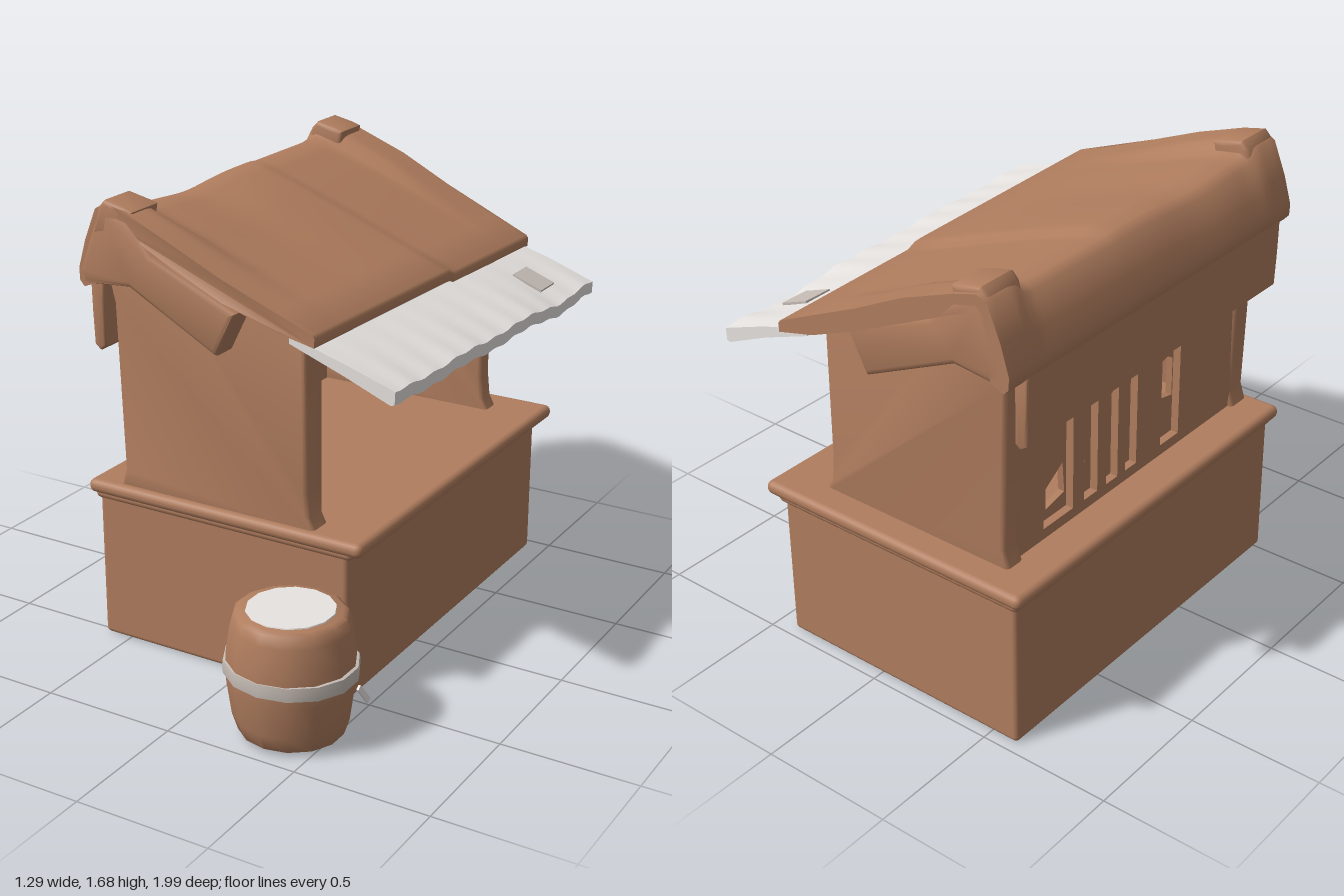
import * as THREE from 'three';
import { toCreasedNormals } from 'three/addons/utils/BufferGeometryUtils.js';
import { RoundedBoxGeometry } from 'three/addons/geometries/RoundedBoxGeometry.js';

const material = (name, color) => {
  const m = new THREE.MeshStandardMaterial({ color });
  m.name = name;
  return m;
};
const clay = material('clay brown', 0xb07d5e);
const cloth = material('pale grey', 0xe9e5e2);
const hoopGrey = material('hoop grey', 0xc6bcb5);

const smoothstep = THREE.MathUtils.smoothstep;
const bump = (t, centre, width) => Math.exp(-(((t - centre) / width) ** 2));
const toShape = (pts) => new THREE.Shape(pts.map(([x, y]) => new THREE.Vector2(x, y)));

export function createModel() {
  const model = new THREE.Group();
  model.name = 'marketStall';

  const add = (name, geometry, mat = clay) => {
    const mesh = new THREE.Mesh(geometry, mat);
    mesh.name = name;
    model.add(mesh);
    return mesh;
  };

  // Rounded box given by its lower and upper corners
  const block = (name, [x0, y0, z0], [x1, y1, z1], radius = 0.015) => {
    const g = new RoundedBoxGeometry(x1 - x0, y1 - y0, z1 - z0, 2, radius);
    g.translate((x0 + x1) / 2, (y0 + y1) / 2, (z0 + z1) / 2);
    return add(name, g);
  };

  // Side profile swept along z; an optional rule gives [dy, dz] for each point
  const sweep = (name, pts, z0, z1, { steps = 1, rule, mat = clay, bevel = 0 } = {}) => {
    const g = new THREE.ExtrudeGeometry(toShape(pts), {
      depth: z1 - z0 - 2 * bevel, steps, bevelEnabled: bevel > 0,
      bevelSize: bevel, bevelThickness: bevel, bevelOffset: -bevel, bevelSegments: 2,
    });
    g.translate(0, 0, z0 + bevel);
    if (rule) {
      const p = g.attributes.position;
      for (let i = 0; i < p.count; i++) {
        const [x, y, z] = [p.getX(i), p.getY(i), p.getZ(i)];
        const [dy, dz] = rule(x, y, z);
        p.setXYZ(i, x, y + dy, z + dz);
      }
    }
    return add(name, toCreasedNormals(g, 0.8), mat);
  };

  // Base and counter
  block('base', [-0.61, 0, -0.96], [0.425, 0.6, 0.53], 0.018);
  block('counter', [-0.645, 0.568, -0.99], [0.488, 0.62, 0.555], 0.024);
  block('counterMoulding', [-0.625, 0.545, -0.975], [0.445, 0.6, 0.54], 0.02);

  // End walls with a slight flare at the foot
  const wallProfile = [
    [-0.52, 0.6], [0.3, 0.6], [0.27, 0.66], [0.26, 0.75], [0.255, 1.33],
    [-0.38, 1.57], [-0.5, 1.57], [-0.53, 1.36], [-0.515, 1.3], [-0.495, 0.68],
  ];
  sweep('frontWall', wallProfile, 0.43, 0.525, { bevel: 0.015 });
  sweep('backWall', wallProfile, -0.88, -0.8, { bevel: 0.015 });
  block('frontPost', [0.12, 0.6, 0.37], [0.235, 1.34, 0.45]);

  // Rear wall in two layers; shapes are drawn in (-z, y)
  const rearLayer = (name, x0, x1, openings) => {
    const rear = toShape([[-0.5, 0.6], [0.85, 0.6], [0.85, 1.5], [-0.5, 1.5]]);
    for (const pts of openings) rear.holes.push(toShape(pts));
    const g = new THREE.ExtrudeGeometry(rear, { depth: x1 - x0, bevelEnabled: false });
    g.rotateY(Math.PI / 2).translate(x0, 0, 0);
    add(name, g);
  };
  // Recesses between the slats outside, broken through in places inside
  rearLayer('rearSlats', -0.495, -0.465, [
    [-0.105, 0.005], [0.15, 0.215], [0.26, 0.325], [0.375, 0.45], [0.51, 0.67],
  ].map(([a, b], i) => [[a, 0.66], [b, 0.66], [b, 1.0 + 0.02 * (i % 2)], [a, 1.03]]));
  rearLayer('rearPanel', -0.465, -0.44, [
    [[-0.1, 0.81], [0, 0.83], [0, 1.02], [-0.1, 0.96]],
    [[0.52, 0.72], [0.62, 0.7], [0.62, 0.78], [0.53, 0.84]],
    [[0.17, 0.99], [0.21, 0.99], [0.21, 1.02]],
    ...[-0.2, 0.11, 0.21, 0.31, 0.41].map((u, i) => {
      const y = 0.66 + 0.03 * (i % 3);
      return [[u, y], [u + 0.004, y], [u + 0.004, 0.96], [u, 0.98]];
    }),
  ]);

  // The front gable draws back towards the rear eave
  const gableInset = (x, z) => -0.05 * smoothstep(-x, 0.05, 0.6) * smoothstep(z, 0.4, 0.6);

  // Roof: higher at both verges, eave dropping towards the back, one shallow step
  const roofRule = (x, y, z) => {
    const verge = Math.max(smoothstep(z, 0.38, 0.5), smoothstep(-z, 0.79, 0.86));
    const ridge = smoothstep(y, 1.38, 1.6);
    const tilt = smoothstep(x, -0.3, 0.35) * -0.045 * (0.62 - z) / 1.6;
    const sag = -0.018 * bump(z, 0.1, 0.17) * ridge;
    const step = -0.018 * smoothstep(-z, 0.32, 0.36) * smoothstep(x, -0.55, -0.4);
    return [verge * ridge * 0.045 + tilt + sag + step, gableInset(x, z)];
  };
  sweep('roof', [
    [-0.6, 1.36], [-0.618, 1.38], [-0.62, 1.42], [-0.59, 1.5], [-0.54, 1.6],
    [-0.5, 1.623], [-0.41, 1.61], [-0.2, 1.54], [0, 1.475], [0.2, 1.41], [0.345, 1.362],
    [0.354, 1.35], [0.352, 1.318], [0.2, 1.35], [0, 1.41], [-0.2, 1.475], [-0.42, 1.55],
    [-0.49, 1.55], [-0.55, 1.38],
  ], -0.99, 0.625, { steps: 44, rule: roofRule });

  // Panel hanging from the rear eave
  sweep('rearEave', [
    [-0.565, 1.13], [-0.585, 1.112], [-0.61, 1.13], [-0.615, 1.25], [-0.618, 1.41], [-0.56, 1.41], [-0.565, 1.3],
  ], -0.9, 0.52, { bevel: 0.008 });

  // Ridge knobs and gable beams at both ends
  for (const [end, z0, z1] of [['front', 0.42, 0.585], ['back', -0.975, -0.815]]) {
    sweep(end + 'RidgeKnob', [
      [-0.55, 1.56], [-0.4, 1.56], [-0.385, 1.652], [-0.42, 1.663], [-0.5, 1.68], [-0.525, 1.655],
    ], z0, z1, { bevel: 0.015 });
  }
  for (const [end, z0, z1] of [['front', 0.46, 0.63], ['back', -0.99, -0.84]]) {
    sweep(end + 'GableBeam', [
      [-0.617, 1.42], [-0.6, 1.37], [-0.4, 1.39], [-0.03, 1.22],
      [0.05, 1.38], [-0.3, 1.52], [-0.4, 1.62], [-0.5, 1.645], [-0.545, 1.61],
    ], z0, z1, { bevel: 0.02, rule: (x, y, z) => [0, gableInset(x, z)] });
  }

  // Cloth awning with a gently uneven edge
  const awningRule = (x, y, z) => {
    const outer = smoothstep(x, 0.4, 0.64);
    const wave = 0.004 * (Math.sin(z * 13) + Math.sin(z * 41)) - 0.018 * bump(z, -0.7, 0.16);
    return [-0.05 * (0.61 - z) / 1.57 + wave * outer, 0];
  };
  sweep('awning', [
    [0.25, 1.338], [0.25, 1.312], [0.45, 1.24], [0.625, 1.168],
    [0.64, 1.172], [0.642, 1.217], [0.62, 1.225], [0.45, 1.282],
  ], -0.965, 0.61, { steps: 48, rule: awningRule, mat: cloth });

  // Mended square on the awning
  const patch = add('awningPatch', new THREE.BoxGeometry(0.125, 0.009, 0.115), hoopGrey);
  patch.position.set(0.508, 1.218, -0.71);
  patch.rotation.z = -0.36;

  // Barrel with a hoop and pale lids
  const barrel = new THREE.Group();
  barrel.name = 'barrel';
  barrel.position.set(0.357, 0, 0.78);
  model.add(barrel);
  const turn = (name, pts, mat, widen = 1) => {
    const g = new THREE.LatheGeometry(pts.map(([r, y]) => new THREE.Vector2(r, y)), 14);
    g.scale(widen, 1, 1);
    const mesh = new THREE.Mesh(toCreasedNormals(g, 0.8), mat);
    mesh.name = name;
    barrel.add(mesh);
  };
  turn('barrelBody', [
    [0, 0.004], [0.15, 0.004], [0.178, 0.02], [0.197, 0.08], [0.213, 0.2], [0.217, 0.255],
    [0.213, 0.32], [0.2, 0.41], [0.188, 0.45], [0.172, 0.46], [0, 0.46],
  ], clay, 1.04);
  turn('barrelHoop', [
    [0.195, 0.228], [0.218, 0.232], [0.221, 0.258], [0.218, 0.282], [0.195, 0.286],
  ], hoopGrey, 1.08);
  turn('barrelLid', [[0.154, 0.458], [0.152, 0.464], [0, 0.464]], cloth);
  turn('barrelBottom', [[0, 0], [0.135, 0], [0.137, 0.006]], cloth);

  // Hoop clasp against the base and a loose chip beside the barrel
  const clasp = add('hoopClasp', new THREE.SphereGeometry(0.04, 10, 6));
  clasp.scale.set(1, 0.9, 1);
  clasp.position.set(0.2, 0.258, 0.595);
  const chip = add('looseChip', new THREE.BoxGeometry(0.009, 0.08, 0.02), cloth);
  chip.position.set(0.62, 0.205, 0.757);
  chip.rotation.set(0.6, 0, 0.15);

  return model;
}
